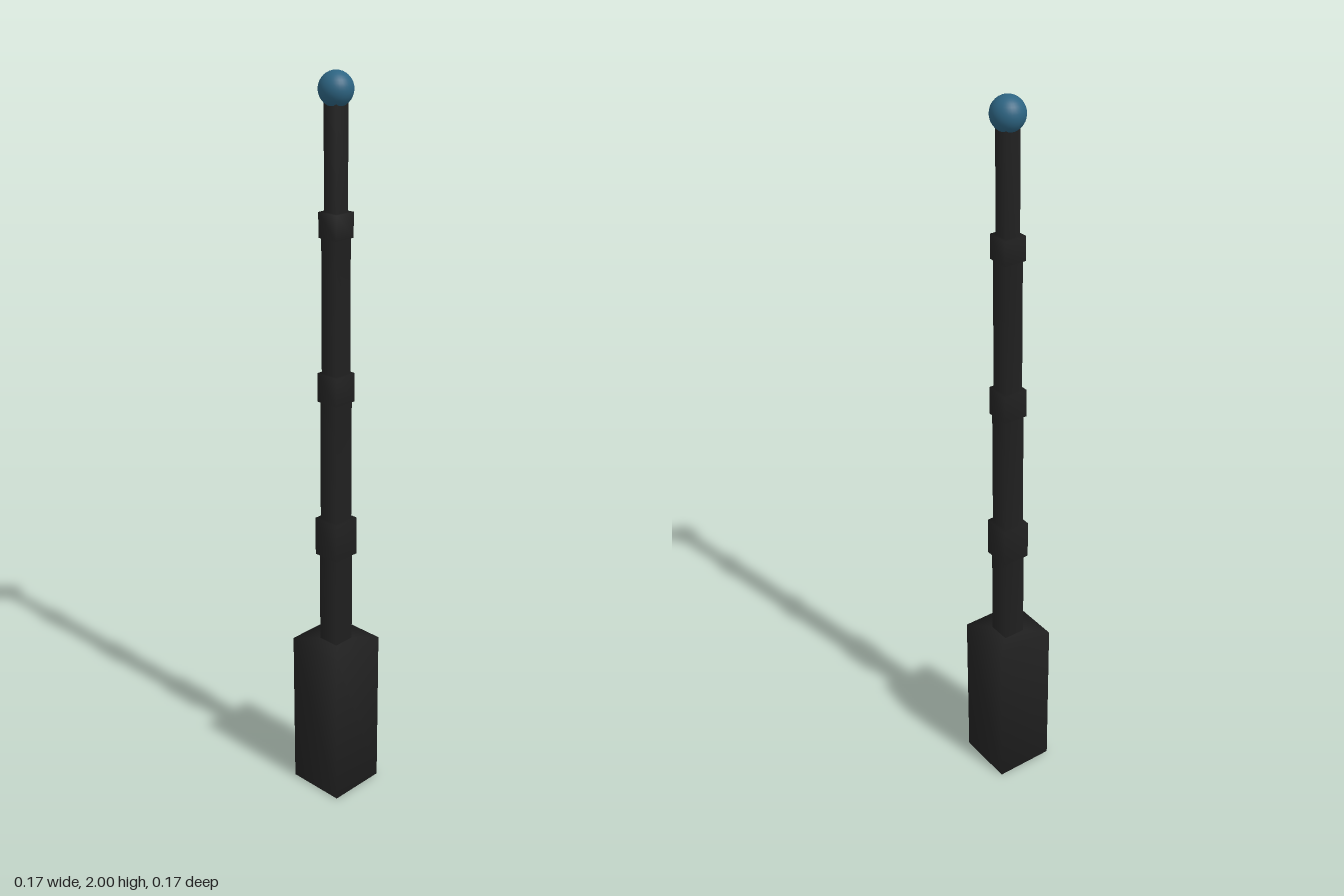
import * as THREE from 'three';

export function createModel() {
  const model = new THREE.Group();
  const black = new THREE.MeshStandardMaterial({ color: 0x222222 });
  black.name = 'black';
  const blue = new THREE.MeshStandardMaterial({ color: 0x2d6482 });
  blue.name = 'blue';

  // Four-sided turned solid with soft normals; profile rows are [half width, height]
  function squareTurned(name, profile) {
    const points = profile.map(([half, y]) => new THREE.Vector2(half * Math.SQRT2, y));
    const mesh = new THREE.Mesh(new THREE.LatheGeometry(points, 4, Math.PI / 4), black);
    mesh.name = name;
    model.add(mesh);
  }

  // Square handle block
  squareTurned('base', [[0, 0], [0.084, 0], [0.084, 0.457], [0, 0.457]]);

  // Stepped mast with three collars, one continuous surface
  squareTurned('mast', [
    [0.031, 0.45], [0.031, 0.72],
    [0.039, 0.72], [0.039, 0.828], [0.029, 0.828], // lower collar
    [0.029, 1.162],
    [0.034, 1.162], [0.034, 1.24], [0.026, 1.24], // middle collar
    [0.026, 1.595],
    [0.031, 1.595], [0.031, 1.66], [0.021, 1.66], // upper collar
    [0.021, 1.935], [0, 1.935],
  ]);

  // Ball on the tip
  const ball = new THREE.Mesh(new THREE.SphereGeometry(0.044, 32, 16), blue);
  ball.name = 'tipBall';
  ball.position.y = 1.956;
  model.add(ball);

  return model;
}
